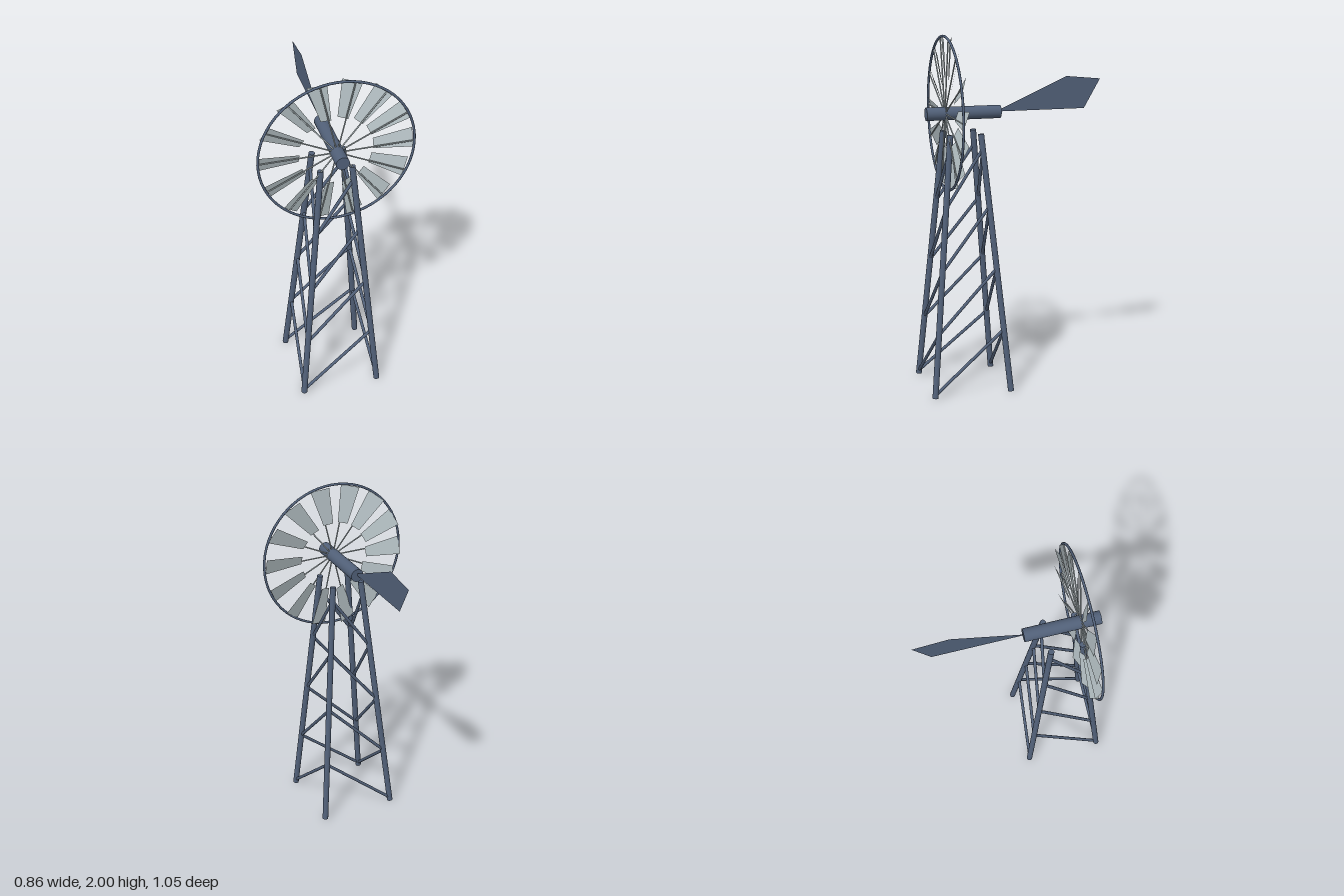
import * as THREE from 'three';

const TOWER_Z = 0.29, HUB_Y = 1.57, WHEEL_Z = 0.385, BLADES = 14;

export function createModel() {
  const model = new THREE.Group();
  model.name = 'windpump';
  const steel = new THREE.MeshStandardMaterial({ name: 'slate steel', color: 0x516078, side: THREE.DoubleSide });
  const zinc = new THREE.MeshStandardMaterial({ name: 'pale zinc', color: 0xb6c2c6, side: THREE.DoubleSide });

  function add(parent, name, geometry, material) {
    const mesh = new THREE.Mesh(geometry, material);
    mesh.name = name;
    parent.add(mesh);
    return mesh;
  }

  // Round bar between two points
  function bar(parent, name, a, b, radius, material, sides = 12) {
    const dir = b.clone().sub(a);
    const mesh = add(parent, name, new THREE.CylinderGeometry(radius, radius, dir.length(), sides), material);
    mesh.position.copy(a).add(b).multiplyScalar(0.5);
    mesh.quaternion.setFromUnitVectors(new THREE.Vector3(0, 1, 0), dir.normalize());
    return mesh;
  }

  // Tower: four tapering legs
  const tower = new THREE.Group();
  tower.name = 'tower';
  model.add(tower);
  const legPoint = (sx, sz, y) => {
    const half = THREE.MathUtils.lerp(0.22, 0.087, y / 1.46);
    return new THREE.Vector3(sx * half, y, TOWER_Z + sz * half);
  };
  for (const sx of [-1, 1]) for (const sz of [-1, 1])
    bar(tower, 'leg', legPoint(sx, sz, 0.003), legPoint(sx, sz, 1.462), 0.017, steel, 16);

  // Diagonal braces, four on each face
  const levels = [0.02, 0.36, 0.71, 1.06, 1.38];
  for (let i = 0; i < 4; i++) {
    for (const s of [-1, 1]) {
      bar(tower, 'crossBrace', legPoint(-1, s, levels[i]), legPoint(1, s, levels[i + 1]), 0.009, steel);
      bar(tower, 'sideBrace', legPoint(s, 1, levels[i]), legPoint(s, -1, levels[i + 1]), 0.009, steel);
    }
  }

  // Gearbox shaft
  bar(model, 'shaft', new THREE.Vector3(0, HUB_Y, 0.07), new THREE.Vector3(0, HUB_Y, 0.492), 0.037, steel, 24);

  // Tail vane
  const vaneShape = new THREE.Shape([[-0.07, 0], [0.425, 0], [0.52, 0.165], [0.32, 0.185], [-0.07, 0.012]]
    .map(([x, y]) => new THREE.Vector2(x, y)));
  const vane = add(model, 'tailVane', new THREE.ShapeGeometry(vaneShape), steel);
  vane.position.y = HUB_Y;
  vane.rotation.y = Math.PI / 2;

  // Wheel: rim, spokes and pitched blades
  const wheel = new THREE.Group();
  wheel.name = 'wheel';
  wheel.position.set(0, HUB_Y, WHEEL_Z);
  model.add(wheel);
  add(wheel, 'rim', new THREE.TorusGeometry(0.423, 0.007, 10, 64), steel);

  const bladeShape = new THREE.Shape([[0.2, -0.028], [0.418, -0.053], [0.418, 0.053], [0.2, 0.028]]
    .map(([x, y]) => new THREE.Vector2(x, y)));
  const bladeGeometry = new THREE.ShapeGeometry(bladeShape);
  for (let i = 0; i < BLADES; i++) {
    const sector = new THREE.Group();
    sector.name = 'sail';
    sector.rotation.z = (i / BLADES) * Math.PI * 2;
    wheel.add(sector);
    bar(sector, 'spoke', new THREE.Vector3(0.02, 0, 0), new THREE.Vector3(0.42, 0, 0), 0.004, zinc, 8);
    const blade = add(sector, 'blade', bladeGeometry, zinc);
    blade.position.set(0, 0.012, -0.016);
    blade.rotation.x = -0.34;
  }
  return model;
}
